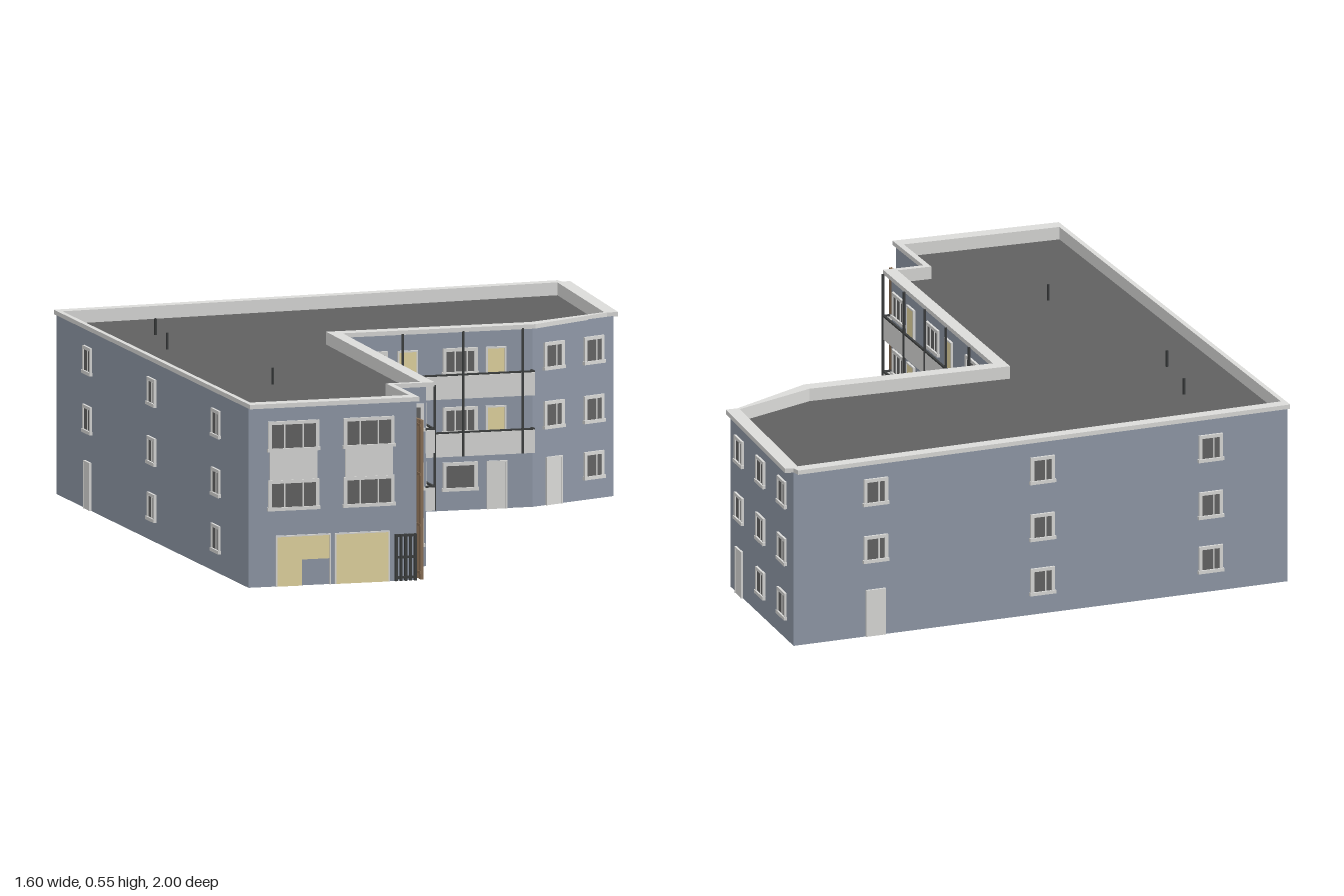
import * as THREE from 'three';

const mat = (name, color, side = THREE.FrontSide) => {
  const m = new THREE.MeshStandardMaterial({ color, side });
  m.name = name;
  return m;
};

// Plans as [x, z], clockwise seen from above
const WALLS = [[-0.795, -0.89], [0.775, -0.975], [0.745, -0.37], [0.46, -0.245], [-0.152, -0.25],
  [-0.172, 0.74], [-0.275, 0.74], [-0.275, 0.98], [-0.788, 0.98]];
const EAVES = [[-0.8, -0.9], [0.77, -1], [0.775, -0.975], [0.8, -0.97], [0.76, -0.37], [0.725, -0.37], [0.46, -0.22],
  [-0.128, -0.22], [-0.147, 0.745], [-0.272, 0.745], [-0.272, 1], [-0.79, 1]];
const ROOF = [[-0.785, -0.862], [0.757, -0.96], [0.72, -0.38], [0.46, -0.265], [-0.165, -0.265],
  [-0.185, 0.725], [-0.29, 0.725], [-0.29, 0.955], [-0.775, 0.955]];
const BACK = 0, EAST = 1, ANGLED = 2, COURT = 3, WING = 4, STEP = 5, FRONT = 7, WEST = 8;
const FLOORS = [0.1, 0.266, 0.44];

// Plan moved inwards by d with mitred corners
const inset = (pts, d) => pts.map(([x, z], i) => {
  const [px, pz] = pts[(i + pts.length - 1) % pts.length], [qx, qz] = pts[(i + 1) % pts.length];
  const a = new THREE.Vector2(pz - z, x - px).normalize();
  const b = new THREE.Vector2(z - qz, qx - x).normalize();
  const k = d / (1 + a.dot(b));
  return [x + (a.x + b.x) * k, z + (a.y + b.y) * k];
});

export function createModel() {
  const root = new THREE.Group();
  root.name = 'apartmentBuilding';
  const M = {
    wall: mat('blue grey plaster', 0x919aa9),
    light: mat('light grey trim', 0xdcdcda, THREE.DoubleSide),
    ceiling: mat('grey ceiling', 0xb8b8b8),
    roof: mat('dark grey roofing', 0x606060),
    glass: mat('dark glass', 0x646464),
    yellow: mat('pale yellow panel', 0xe8daa4),
    metal: mat('dark metal', 0x3c3e3f),
    wood: mat('brown wood', 0x8c7258),
  };

  const add = (parent, name, geo, material) => {
    const mesh = new THREE.Mesh(geo, material);
    mesh.name = name;
    parent.add(mesh);
    return mesh;
  };
  const box = (parent, name, w, h, d, x, y, z, material) => {
    const mesh = add(parent, name, new THREE.BoxGeometry(w, h, d), material);
    mesh.position.set(x, y, z);
    return mesh;
  };
  const shapeOf = (pts) => new THREE.Shape(pts.map(([x, z]) => new THREE.Vector2(x, -z)));

  // Upright faces along a closed plan
  const strip = (pts, y0, y1) => {
    const v = [];
    pts.forEach(([ax, az], i) => {
      const [bx, bz] = pts[(i + 1) % pts.length];
      v.push(ax, y0, az, ax, y1, az, bx, y1, bz, ax, y0, az, bx, y1, bz, bx, y0, bz);
    });
    const g = new THREE.BufferGeometry();
    g.setAttribute('position', new THREE.Float32BufferAttribute(v, 3));
    g.computeVertexNormals();
    return g;
  };

  // Box running between two plan points
  const beam = (parent, name, [ax, az], [bx, bz], y, h, d, material) => {
    const len = Math.hypot(bx - ax, bz - az);
    const b = box(parent, name, len + d, h, d, (ax + bx) / 2, y, (az + bz) / 2, material);
    b.rotation.y = -Math.atan2(bz - az, bx - ax);
  };

  // Group on a wall: local x along it, local z outward; c is the coordinate on its longer axis
  const onWall = (name, wall, c) => {
    const [ax, az] = WALLS[wall], [bx, bz] = WALLS[(wall + 1) % WALLS.length];
    const dx = bx - ax, dz = bz - az;
    const t = Math.abs(dx) > Math.abs(dz) ? (c - ax) / dx : (c - az) / dz;
    const g = new THREE.Group();
    g.name = name;
    g.position.set(ax + dx * t, 0, az + dz * t);
    g.rotation.y = Math.atan2(dz, -dx);
    root.add(g);
    return g;
  };

  const frame = (g, w, y0, y1, b, d, sill = true) => {
    const h = y1 - y0;
    for (const s of [-1, 1]) box(g, 'frameSide', b, h, d, s * (w - b) / 2, y0 + h / 2, d / 2 - 0.002, M.light);
    box(g, 'frameTop', w, b, d, 0, y1 - b / 2, d / 2 - 0.002, M.light);
    if (sill) box(g, 'frameSill', w + 0.006, b, d + 0.003, 0, y0 + b / 2, d / 2 - 0.001, M.light);
  };
  const windowAt = (wall, c, y, w = 0.085, h = 0.082, mullions = [0.12]) => {
    const g = onWall('window', wall, c);
    box(g, 'pane', w - 0.01, h - 0.01, 0.006, 0, y, 0.001, M.glass);
    frame(g, w, y - h / 2, y + h / 2, 0.01, 0.009);
    for (const m of mullions) box(g, 'mullion', 0.004, h - 0.01, 0.005, m * w, y, 0.004, M.light);
  };
  // White doors are thick enough to show inside too
  const doorAt = (wall, c, w = 0.062, y0 = 0, h = 0.138, material = M.light, depth = 0.03) => {
    const g = onWall('door', wall, c);
    box(g, 'doorLeaf', w - 0.008, h, depth, 0, y0 + h / 2, 0.005 - depth / 2, material);
    frame(g, w, y0, y0 + h + 0.004, 0.005, 0.009, false);
  };

  // Shell: plaster outside, light lining inside, open underneath
  const lining = inset(WALLS, 0.008);
  add(root, 'outerWalls', strip(WALLS, 0, 0.532), M.wall);
  add(root, 'innerWalls', strip([...lining].reverse(), 0, 0.5), M.light);
  const foot = shapeOf(WALLS);
  foot.holes.push(shapeOf(lining));
  add(root, 'wallFoot', new THREE.ShapeGeometry(foot).rotateX(-Math.PI / 2), M.light);

  // Roof deck, ceiling, parapet and its inner upstand
  const deck = new THREE.ShapeGeometry(shapeOf(WALLS)).rotateX(-Math.PI / 2);
  add(root, 'roofDeck', deck, M.roof).position.y = 0.505;
  const under = new THREE.ShapeGeometry(new THREE.Shape(WALLS.map(([x, z]) => new THREE.Vector2(x, z))));
  add(root, 'ceiling', under.rotateX(Math.PI / 2), M.ceiling).position.y = 0.499;
  const ring = shapeOf(EAVES);
  ring.holes.push(shapeOf(ROOF));
  const cap = new THREE.ExtrudeGeometry(ring, { depth: 0.013, bevelEnabled: false }).rotateX(-Math.PI / 2);
  add(root, 'parapet', cap, M.light).position.y = 0.53;
  add(root, 'parapetUpstand', strip([...ROOF].reverse(), 0.505, 0.531), M.light);
  for (const [x, z] of [[-0.587, -0.585], [-0.635, -0.315], [-0.537, 0.41]]) {
    add(root, 'roofVent', new THREE.CylinderGeometry(0.004, 0.004, 0.05, 8), M.metal).position.set(x, 0.529, z);
  }

  // Plain facades: columns of windows, with a door in one column
  for (const [wall, columns, door] of [[BACK, [0.515, -0.015, -0.55], 0.515], [WEST, [-0.58, 0.045, 0.67], -0.58],
    [EAST, [-0.46, -0.665, -0.87], -0.46], [ANGLED, [0.533, 0.674], 0.533], [STEP, [-0.217], null]]) {
    for (const c of columns) {
      FLOORS.forEach((y, i) => {
        if (i === 0 && c === door) doorAt(wall, c);
        else windowAt(wall, c, y, 0.076);
      });
    }
  }

  // Courtyard facades behind the balconies
  const upper = [[COURT, [-0.036, 0.238], [0.078, 0.347]], [WING, [0.67, 0.37, 0.025], [0.563, 0.23, -0.08]]];
  for (const [wall, windows, doors] of upper) {
    for (const y of FLOORS.slice(1)) {
      for (const c of windows) windowAt(wall, c, y, 0.105, 0.08, [-0.15, 0.2]);
      for (const c of doors) doorAt(wall, c, 0.062, y - 0.095, 0.13, M.yellow, 0.01);
    }
  }
  for (const c of [-0.036, 0.238]) windowAt(COURT, c, 0.1, 0.105, 0.085, []);
  for (const c of [0.073, 0.35]) doorAt(COURT, c);
  for (const c of [0.555, 0.203]) windowAt(WING, c, 0.1, 0.105, 0.085, []);
  doorAt(WING, -0.112);

  // Two balcony decks wrapping the inner corner
  const path = [[-0.17, 0.738], [-0.147, 0.738], [-0.129, -0.224], [0.456, -0.224], [0.456, -0.244]];
  const floorPlan = shapeOf([...path, [-0.152, -0.249]]);
  for (const y of [0.163, 0.333]) {
    const slab = new THREE.ExtrudeGeometry(floorPlan, { depth: 0.01, bevelEnabled: false }).rotateX(-Math.PI / 2);
    add(root, 'balconySlab', slab, M.light).position.y = y;
    for (let i = 0; i < path.length - 1; i++) {
      beam(root, 'balconyParapet', path[i], path[i + 1], y + 0.034, 0.068, 0.006, M.light);
      beam(root, 'balconyRail', path[i], path[i + 1], y + 0.071, 0.005, 0.007, M.metal);
    }
  }
  const post = (x, z) => box(root, 'balconyPost', 0.006, 0.37, 0.006, x, 0.348, z, M.metal);
  for (const x of [-0.127, 0.055, 0.24, 0.422]) post(x, -0.22);
  for (const z of [0.735, 0.55, 0.37, 0.183, -0.02, -0.2]) post(-0.143 + (0.738 - z) * 0.0187, z);

  // Street front: paired windows joined by light panels
  for (const c of [-0.651, -0.421]) {
    for (const y of [0.269, 0.443]) windowAt(FRONT, c, y, 0.155, 0.09, [-0.18, 0.18]);
    box(onWall('spandrel', FRONT, c), 'spandrelPanel', 0.145, 0.086, 0.006, 0, 0.356, 0.002, M.light);
  }

  // Garage doors, the left one with a low opening
  const shop = onWall('garageEntrance', FRONT, -0.622);
  box(shop, 'upperPanel', 0.162, 0.07, 0.008, 0, 0.112, 0.001, M.yellow);
  box(shop, 'lowerPanel', 0.077, 0.077, 0.008, -0.0425, 0.0385, 0.001, M.yellow);
  frame(shop, 0.168, 0, 0.15, 0.004, 0.009, false);
  const garage = onWall('garageDoor', FRONT, -0.442);
  box(garage, 'doorPanel', 0.162, 0.147, 0.008, 0, 0.0735, 0.001, M.yellow);
  frame(garage, 0.168, 0, 0.15, 0.004, 0.009, false);

  // Barred gate
  const gate = onWall('gate', FRONT, -0.309);
  for (let i = 0; i < 5; i++) box(gate, 'gateBar', 0.007, 0.138, 0.008, -0.029 + i * 0.0145, 0.069, 0.004, M.metal);
  for (const y of [0.01, 0.07, 0.134]) box(gate, 'gateRail', 0.064, 0.007, 0.007, 0, y, 0.004, M.metal);

  // Tall timber screen beside the street wing
  const screen = new THREE.Group();
  screen.name = 'timberScreen';
  root.add(screen);
  for (let i = 0; i < 9; i++) {
    const s = i / 8;
    box(screen, 'slat', 0.009, 0.47, 0.021, -0.265 + s * 0.008, 0.235, 0.76 + s * 0.207, M.wood);
  }
  for (const y of [0.02, 0.16, 0.31, 0.455]) beam(screen, 'screenRail', [-0.268, 0.75], [-0.26, 0.975], y, 0.008, 0.006, M.wood);

  return root;
}
